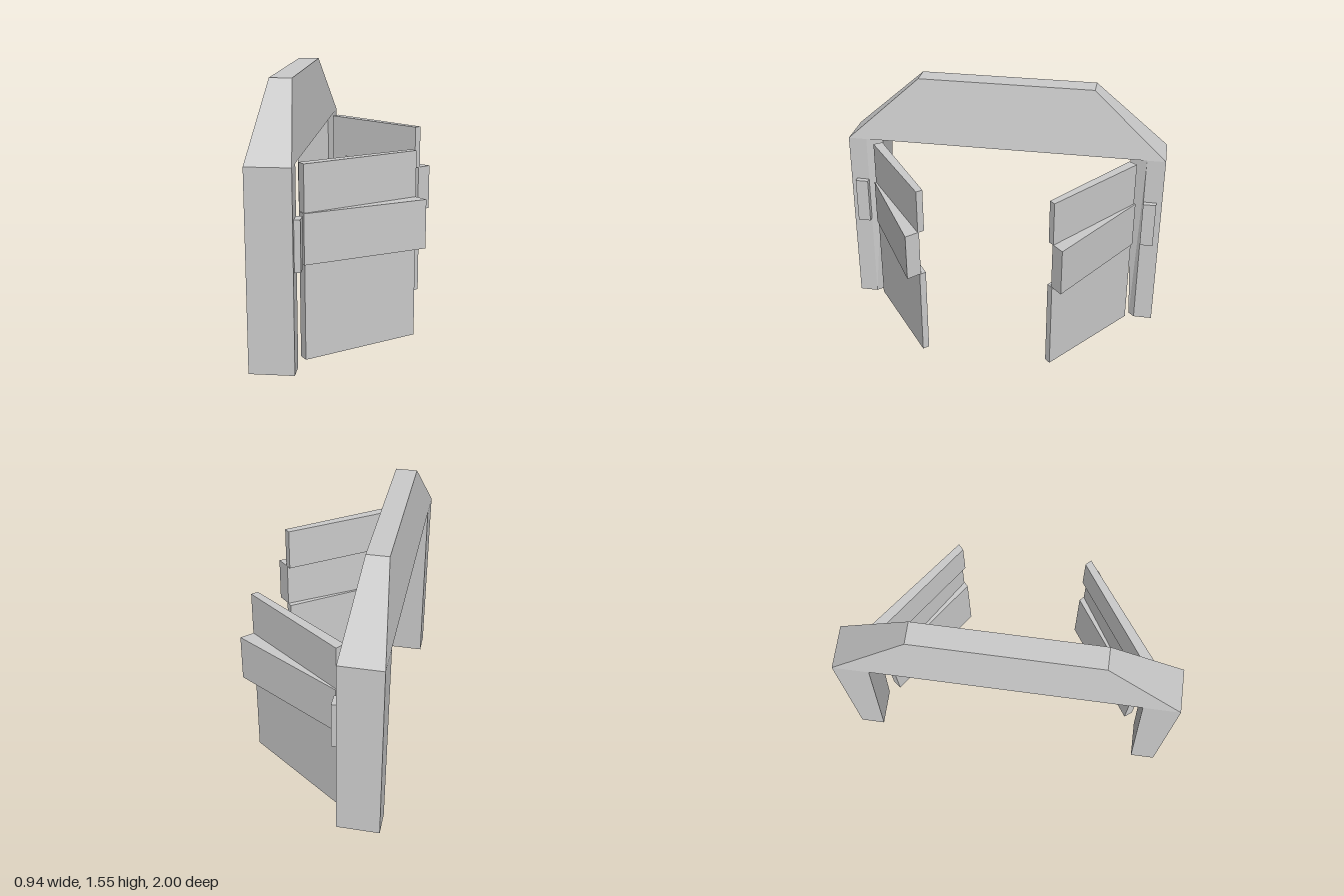
import * as THREE from 'three';

const material = new THREE.MeshStandardMaterial({ color: 0xcccccc });

// Solid between two matching horizontal outlines of [x, z] corners
function loft(name, y0, y1, lower, upper = lower) {
  let area = 0;
  lower.forEach(([x, z], i) => {
    const [nx, nz] = lower[(i + 1) % lower.length];
    area += x * nz - nx * z;
  });
  // Keep every outline turning the same way so faces point outward
  const a = area > 0 ? [...lower].reverse() : lower;
  const b = area > 0 ? [...upper].reverse() : upper;
  const n = a.length, p = [];
  const lo = (i) => [a[i % n][0], y0, a[i % n][1]];
  const hi = (i) => [b[i % n][0], y1, b[i % n][1]];
  for (let i = 0; i < n; i++) {
    p.push(...lo(i), ...lo(i + 1), ...hi(i + 1), ...lo(i), ...hi(i + 1), ...hi(i));
    if (i > 0 && i < n - 1) {
      p.push(...hi(0), ...hi(i), ...hi(i + 1));
      p.push(...lo(0), ...lo(i + 1), ...lo(i));
    }
  }
  const geometry = new THREE.BufferGeometry();
  geometry.setAttribute('position', new THREE.Float32BufferAttribute(p, 3));
  geometry.computeVertexNormals();
  const mesh = new THREE.Mesh(geometry, material);
  mesh.name = name;
  return mesh;
}

const rect = (x0, x1, z0, z1) => [[x0, z0], [x1, z0], [x1, z1], [x0, z1]];

export function createModel() {
  const model = new THREE.Group();
  model.name = 'gateway';

  // Lintel with sloping ends and sides
  model.add(loft('lintel', 1.15, 1.555,
    rect(-0.47, -0.215, -1, 1), rect(-0.41, -0.28, -0.545, 0.545)));

  for (const side of [1, -1]) {
    const label = side > 0 ? 'front' : 'back';
    const m = (points) => points.map(([x, z]) => [x, z * side]);

    // Post with a chamfered inner corner, widening towards the lintel
    model.add(loft(label + 'Post', 0, 1.15,
      m([[-0.47, 1], [-0.215, 1], [-0.215, 0.885], [-0.25, 0.85], [-0.47, 0.85]]),
      m([[-0.47, 1], [-0.215, 1], [-0.215, 0.885], [-0.25, 0.785], [-0.47, 0.785]])));

    // Latch block on the post
    model.add(loft(label + 'Latch', 0.575, 0.865, m(rect(-0.22, -0.18, 0.885, 0.965))));

    // Swung-open door: two panels and a thicker middle band, ends cut at an angle
    const door = new THREE.Group();
    door.name = label + 'Door';
    const panel = m([[-0.215, 0.78], [0.372, 0.37], [0.403, 0.4], [-0.18, 0.828]]);
    const band = m([[-0.215, 0.785], [0.395, 0.395], [0.465, 0.46], [-0.18, 0.838]]);
    door.add(loft('lowerPanel', 0.02, 0.575, panel));
    door.add(loft('middleBand', 0.575, 0.865, band));
    door.add(loft('upperPanel', 0.865, 1.135, panel));
    model.add(door);
  }
  return model;
}
